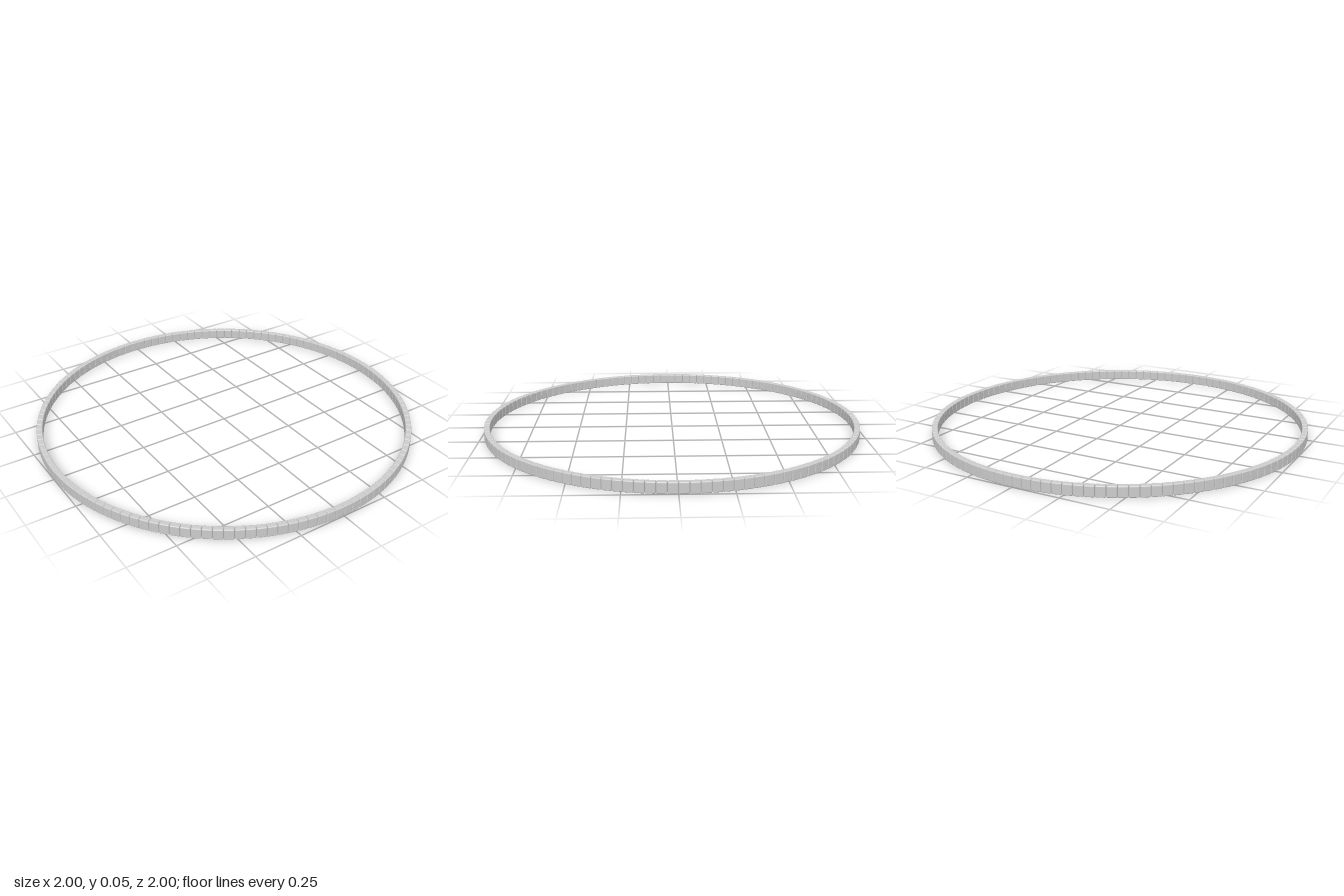
import * as THREE from 'three';
import { RoundedBoxGeometry } from 'three/addons/geometries/RoundedBoxGeometry.js';

const COUNT = 128;
const OUTER = 1.0;
const DEPTH = 0.031;
const HEIGHT = 0.055;

export function createModel() {
  const ring = new THREE.Group();
  ring.name = 'segmentedRing';
  const material = new THREE.MeshStandardMaterial({ color: 0xcccccc });

  // One soft-edged block, nearly touching its neighbours
  const width = 2 * (OUTER - DEPTH / 2) * Math.sin(Math.PI / COUNT) - 0.0008;
  const block = new RoundedBoxGeometry(width, HEIGHT, DEPTH, 2, 0.005);

  // Blocks set side by side around the circle, a joint at the front centre
  for (let i = 0; i < COUNT; i++) {
    const angle = ((i + 0.5) / COUNT) * Math.PI * 2;
    const radius = OUTER - DEPTH / 2;
    const segment = new THREE.Mesh(block, material);
    segment.name = `ringSegment${i + 1}`;
    segment.position.set(Math.sin(angle) * radius, HEIGHT / 2, Math.cos(angle) * radius);
    segment.rotation.y = angle;
    ring.add(segment);
  }
  return ring;
}
